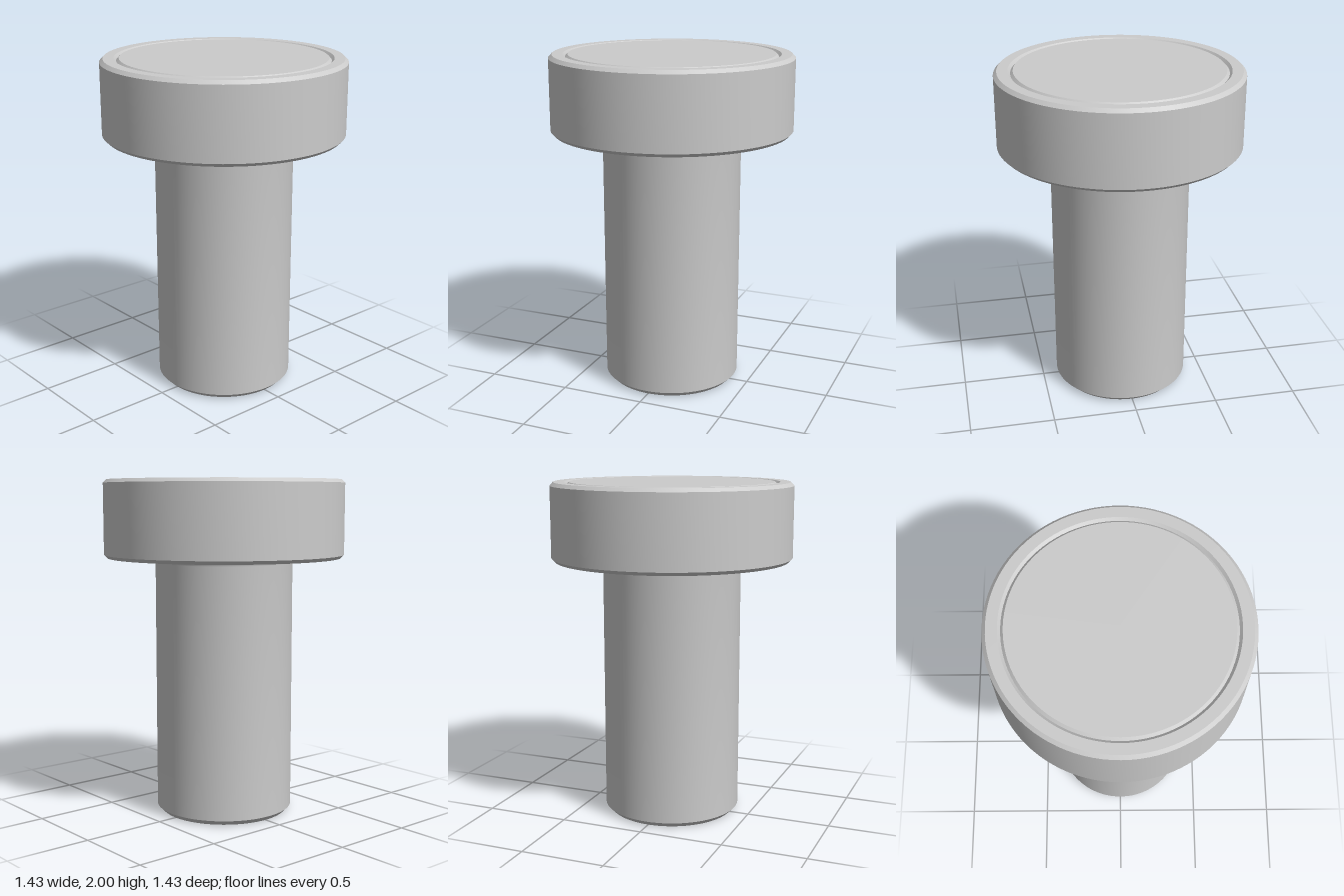
import * as THREE from 'three';
import { toCreasedNormals } from 'three/addons/utils/BufferGeometryUtils.js';

const material = new THREE.MeshStandardMaterial({ color: 0xcccccc });

// Revolve a [radius, height] profile, keeping sharp edges crisp
function turned(name, profile) {
  const points = profile.map(([r, y]) => new THREE.Vector2(r, y));
  const geometry = toCreasedNormals(new THREE.LatheGeometry(points, 96), 0.6);
  const mesh = new THREE.Mesh(geometry, material);
  mesh.name = name;
  return mesh;
}

export function createModel() {
  const group = new THREE.Group();
  group.name = 'headedPin';

  const shankR = 0.41, headR = 0.715, headY = 1.54, fillet = 0.03;

  // Blind hole with drill-point end, opening into a counterbore
  group.add(turned('counterboredHole', [
    [0, 1.0], [0.17, 0.9], [0.17, 0.115], [0.26, 0.115], [0.26, 0],
  ]));

  // Shank with chamfered foot and a small fillet under the head
  const neck = [];
  for (let i = 0; i <= 6; i++) {
    const a = (i / 6) * Math.PI / 2;
    neck.push([shankR + fillet * (1 - Math.cos(a)), headY - fillet * (1 - Math.sin(a))]);
  }
  group.add(turned('shank', [[0.26, 0], [shankR - 0.03, 0], [shankR, 0.03], ...neck]));

  // Head with chamfered rims, ending at the bottom of the top groove
  group.add(turned('head', [
    [shankR + fillet, headY], [headR - 0.02, headY], [headR, headY + 0.02],
    [headR, 1.98], [headR - 0.02, 2], [0.633, 2], [0.618, 1.985],
  ]));

  // Bevelled face disc inside the groove
  group.add(turned('faceDisc', [[0.618, 1.985], [0.603, 2], [0, 2]]));

  return group;
}
